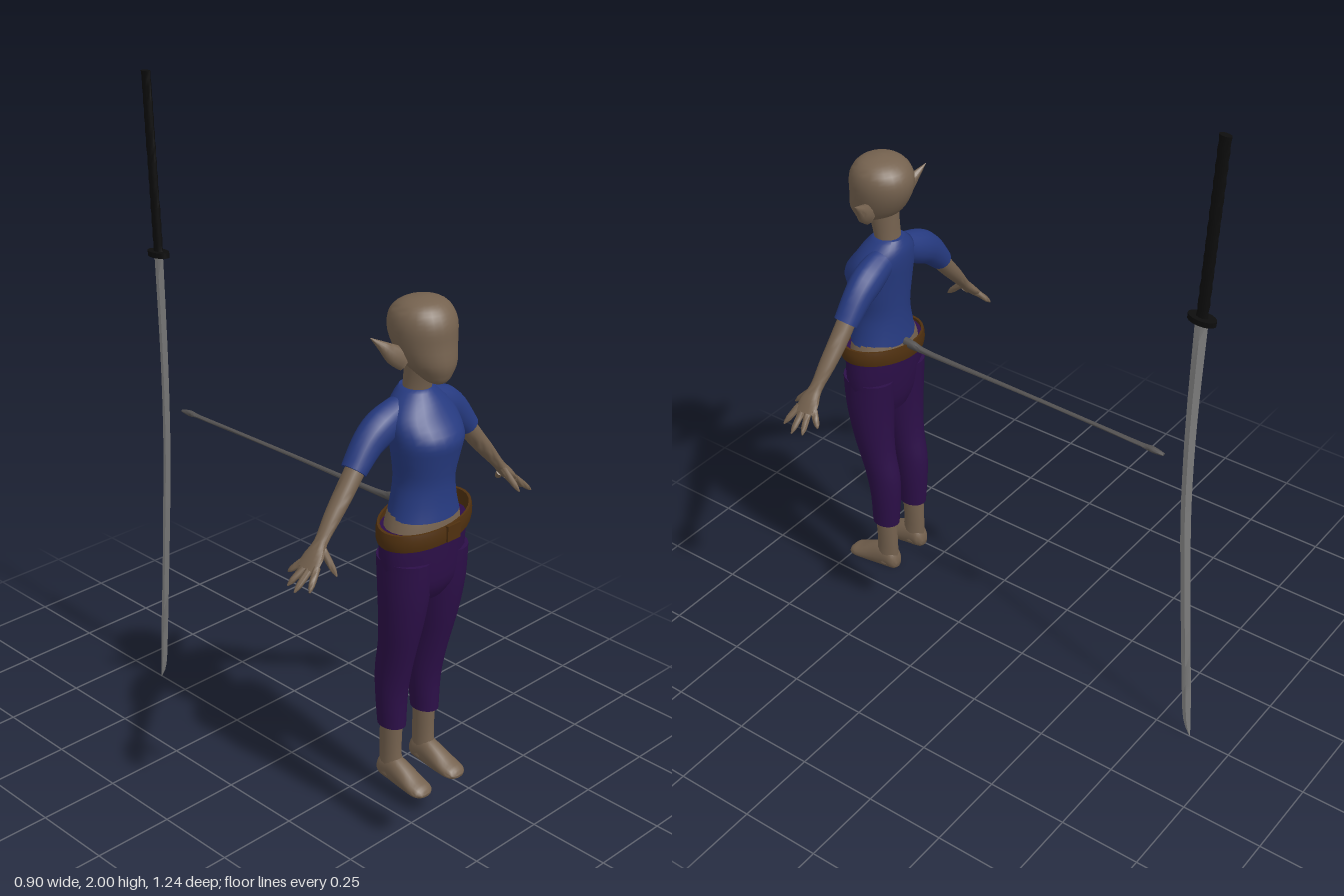
import * as THREE from 'three';
import { toCreasedNormals } from 'three/addons/utils/BufferGeometryUtils.js';

const mat = (name, color) => {
  const m = new THREE.MeshStandardMaterial({ color });
  m.name = name;
  return m;
};
const Y = new THREE.Vector3(0, 1, 0);
const Z = new THREE.Vector3(0, 0, 1);

// Smoothly subdivide a list of cross-section nodes [x, y, z, rU, rV]
function refine(nodes, steps) {
  const out = [];
  const at = (i) => nodes[Math.min(Math.max(i, 0), nodes.length - 1)];
  for (let i = 0; i < nodes.length - 1; i++) {
    for (let s = 0; s < steps; s++) {
      const t = s / steps, a = at(i - 1), b = at(i), c = at(i + 1), d = at(i + 2);
      out.push(b.map((_, k) => 0.5 * (2 * b[k] + (c[k] - a[k]) * t
        + (2 * a[k] - 5 * b[k] + 4 * c[k] - d[k]) * t * t
        + (3 * b[k] - a[k] - 3 * c[k] + d[k]) * t * t * t)));
    }
  }
  out.push(nodes[nodes.length - 1]);
  return out;
}

// Skin elliptical rings along a path; rU lies along ref, rV across it
function loft(nodes, { sides = 16, steps = 3, ref = Z, axis = null, floor = -1, crease = 0.9 } = {}) {
  const rings = refine(nodes, steps), pos = [], idx = [], n = sides;
  const centre = rings.map((r) => new THREE.Vector3(r[0], r[1], r[2]));
  const last = rings.length - 1;
  rings.forEach((r, i) => {
    const T = axis ? axis.clone()
      : centre[Math.min(i + 1, last)].clone().sub(centre[Math.max(i - 1, 0)]).normalize();
    const U = ref.clone().addScaledVector(T, -ref.dot(T)).normalize();
    const V = T.clone().cross(U);
    for (let j = 0; j < n; j++) {
      const a = (j / n) * Math.PI * 2;
      const p = centre[i].clone().addScaledVector(U, r[3] * Math.cos(a)).addScaledVector(V, r[4] * Math.sin(a));
      pos.push(p.x, Math.max(p.y, floor), p.z);
    }
  });
  for (let i = 0; i < last; i++) {
    for (let j = 0; j < n; j++) {
      const k = (j + 1) % n, a = i * n + j, b = i * n + k;
      idx.push(a, b, b + n, a, b + n, a + n);
    }
  }
  const c0 = rings.length * n;
  for (const c of [centre[0], centre[last]]) pos.push(c.x, Math.max(c.y, floor), c.z);
  for (let j = 0; j < n; j++) {
    const k = (j + 1) % n;
    idx.push(c0, k, j, c0 + 1, last * n + j, last * n + k);
  }
  const g = new THREE.BufferGeometry();
  g.setAttribute('position', new THREE.Float32BufferAttribute(pos, 3));
  g.setIndex(idx);
  return toCreasedNormals(g, crease);
}

// Upright section from [y, centre x, half width, back z, front z]
const upright = (rows) => rows.map(([y, x, rx, zb, zf]) => [x, y, (zb + zf) / 2, (zf - zb) / 2, rx]);

export function createModel() {
  const model = new THREE.Group();
  model.name = 'figureWithSword';
  const skin = mat('skin', 0x75624f), shirt = mat('blueCloth', 0x263a80), trousers = mat('purpleCloth', 0x2c0f48);
  const leather = mat('leather', 0x4f300f), grey = mat('tailGrey', 0x525050);
  const steel = mat('steel', 0x8c8c8c), black = mat('blackWrap', 0x0d0d0d);
  const add = (name, geo, material) => {
    const m = new THREE.Mesh(geo, material);
    m.name = name;
    model.add(m);
    return m;
  };
  const body = (name, rows, material) =>
    add(name, loft(upright(rows), { sides: 24, axis: Y }), material);

  // Head, neck and midriff
  body('head', [
    [1.389, 0, 0.008, 0.54, 0.556], [1.397, 0, 0.03, 0.51, 0.569], [1.42, 0, 0.05, 0.465, 0.581],
    [1.45, 0, 0.07, 0.425, 0.587], [1.5, 0, 0.084, 0.395, 0.581], [1.545, 0, 0.088, 0.387, 0.578],
    [1.58, 0, 0.078, 0.402, 0.562], [1.602, 0, 0.052, 0.435, 0.535], [1.611, 0, 0.01, 0.475, 0.495],
  ], skin);
  body('neck', [[1.31, 0, 0.045, 0.425, 0.51], [1.36, 0, 0.038, 0.432, 0.51], [1.45, 0, 0.04, 0.435, 0.535]], skin);
  body('midriff', [[0.94, 0, 0.132, 0.418, 0.59], [1.0, 0, 0.115, 0.418, 0.588], [1.06, 0, 0.088, 0.43, 0.578]], skin);

  // Shirt and hips
  body('shirt', [
    [1.015, 0, 0.108, 0.42, 0.592], [1.06, 0, 0.096, 0.424, 0.586], [1.12, 0, 0.087, 0.425, 0.585],
    [1.19, 0, 0.1, 0.42, 0.597], [1.24, 0, 0.108, 0.414, 0.603], [1.29, 0, 0.106, 0.408, 0.568],
    [1.33, 0, 0.078, 0.408, 0.54], [1.362, 0, 0.042, 0.42, 0.512],
  ], shirt);
  body('hips', [
    [0.77, 0, 0.08, 0.45, 0.56], [0.82, 0, 0.125, 0.432, 0.587], [0.9, 0, 0.142, 0.42, 0.594],
    [0.985, 0, 0.141, 0.413, 0.598],
  ], trousers);

  // Belt: a rectangular band, tilted down to the right
  const profile = [[0.93, -1], [0.985, -1], [1.01, -0.4], [1.01, 0.4], [0.985, 1], [0.93, 1], [0.93, -1]];
  const beltGeo = new THREE.LatheGeometry(profile.map(([x, y]) => new THREE.Vector2(x, y)), 36);
  const bp = beltGeo.attributes.position;
  for (let i = 0; i < bp.count; i++) {
    const x = bp.getX(i), z = bp.getZ(i);
    bp.setXYZ(i, x * 0.15, 0.987 + bp.getY(i) * 0.024 + x * 0.018, 0.51 + z * 0.104);
  }
  add('belt', toCreasedNormals(beltGeo, 0.6), leather);
  add('beltBuckle', new THREE.BoxGeometry(0.05, 0.045, 0.012), leather).position.set(0, 0.987, 0.613);

  for (const s of [1, -1]) {
    const side = s > 0 ? 'left' : 'right';
    const limb = (name, nodes, material, opts) =>
      add(side + name, loft(nodes.map(([x, ...r]) => [x * s, ...r]), opts), material);

    // Pointed ear
    limb('Ear', [
      [0.065, 1.452, 0.482, 0.02, 0.03], [0.095, 1.473, 0.473, 0.019, 0.027],
      [0.125, 1.5, 0.462, 0.012, 0.014], [0.157, 1.527, 0.45, 0.001, 0.001],
    ], skin, { sides: 10 });

    // Sleeve, arm and palm
    limb('Sleeve', [
      [0.05, 1.3, 0.457, 0.04, 0.045], [0.115, 1.272, 0.455, 0.045, 0.052],
      [0.165, 1.238, 0.454, 0.041, 0.045], [0.217, 1.18, 0.457, 0.037, 0.034],
    ], shirt);
    limb('Arm', [
      [0.19, 1.21, 0.457, 0.028, 0.027], [0.25, 1.135, 0.46, 0.028, 0.025], [0.3, 1.078, 0.464, 0.025, 0.021],
      [0.345, 1.025, 0.469, 0.02, 0.015], [0.372, 0.995, 0.472, 0.032, 0.014], [0.398, 0.966, 0.47, 0.036, 0.01],
    ], skin);

    // Fingers and thumb: base to tip
    const fingers = [
      [[0.388, 0.976, 0.498], [0.435, 0.93, 0.52]], [[0.392, 0.972, 0.481], [0.45, 0.921, 0.48]],
      [[0.39, 0.972, 0.463], [0.442, 0.925, 0.446]], [[0.386, 0.976, 0.446], [0.41, 0.942, 0.415]],
      [[0.352, 1.012, 0.482], [0.358, 0.957, 0.541]],
    ];
    fingers.forEach(([a, b], i) => {
      const mid = a.map((v, k) => v * 0.3 + b[k] * 0.7);
      limb(i < 4 ? 'Finger' + (i + 1) : 'Thumb',
        [[...a, 0.011, 0.01], [...mid, 0.009, 0.008], [...b, 0.002, 0.002]], skin, { sides: 8 });
    });

    // Trouser leg
    limb('TrouserLeg', upright([
      [0.36, 0.067, 0.036, 0.43, 0.518], [0.46, 0.067, 0.043, 0.422, 0.519], [0.54, 0.068, 0.046, 0.421, 0.532],
      [0.62, 0.07, 0.051, 0.434, 0.55], [0.7, 0.071, 0.06, 0.438, 0.568], [0.8, 0.071, 0.068, 0.434, 0.584],
      [0.9, 0.071, 0.068, 0.425, 0.59],
    ]), trousers, { axis: Y, sides: 20 });

    // Ankle and foot, flat on the sole
    limb('Ankle', upright([
      [0.2, 0.067, 0.028, 0.437, 0.52], [0.27, 0.067, 0.026, 0.437, 0.508], [0.38, 0.067, 0.03, 0.438, 0.508],
    ]), skin, { axis: Y });
    limb('Foot', [
      [0.067, 0.205, 0.433, 0.014, 0.012], [0.067, 0.215, 0.447, 0.036, 0.026], [0.067, 0.218, 0.485, 0.046, 0.029],
      [0.067, 0.208, 0.53, 0.038, 0.033], [0.068, 0.196, 0.575, 0.024, 0.037], [0.068, 0.191, 0.603, 0.016, 0.032],
      [0.068, 0.188, 0.616, 0.005, 0.015],
    ], skin, { axis: Z, ref: Y, floor: 0.18 });
  }

  // Long straight tail with a spade tip
  add('tail', loft([
    [0, 1.012, 0.43, 0.018, 0.013], [0, 1.01, 0.39, 0.014, 0.011], [0, 1.004, 0.32, 0.008, 0.009],
    [0, 1.002, 0, 0.005, 0.007], [0, 0.995, -0.36, 0.005, 0.008], [0, 0.994, -0.41, 0.005, 0.009],
    [0, 0.993, -0.44, 0.009, 0.01], [0, 0.991, -0.475, 0.004, 0.006],
  ], { ref: Y, sides: 10 }), grey);

  // Curved sword blade with a diamond section
  add('swordBlade', loft([
    [0, 1.47, -0.566, 0.02, 0.005], [0, 1.2, -0.556, 0.018, 0.005], [0, 1.0, -0.553, 0.017, 0.005],
    [0, 0.8, -0.556, 0.017, 0.005], [0, 0.6, -0.567, 0.017, 0.005], [0, 0.4, -0.579, 0.016, 0.0045],
    [0, 0.2, -0.593, 0.016, 0.004], [0, 0.06, -0.603, 0.013, 0.004], [0, 0, -0.617, 0.001, 0.001],
  ], { sides: 4, crease: 0.5 }), steel);

  // Oval guard and ridged grip
  const guard = add('swordGuard', new THREE.CylinderGeometry(1, 1, 0.016, 16), black);
  guard.scale.set(0.023, 1, 0.042);
  guard.position.set(0, 1.465, -0.566);
  guard.rotation.x = -0.06;
  const grip = [];
  for (let i = 0; i <= 24; i++) {
    const t = i / 24, r = i % 2 ? 0.0165 : 0.0185;
    grip.push([0, 1.47 + 0.53 * t, -0.566 - 0.032 * t, r, r * 0.55]);
  }
  add('swordGrip', loft(grip, { sides: 10, steps: 1 }), black);

  return model;
}
